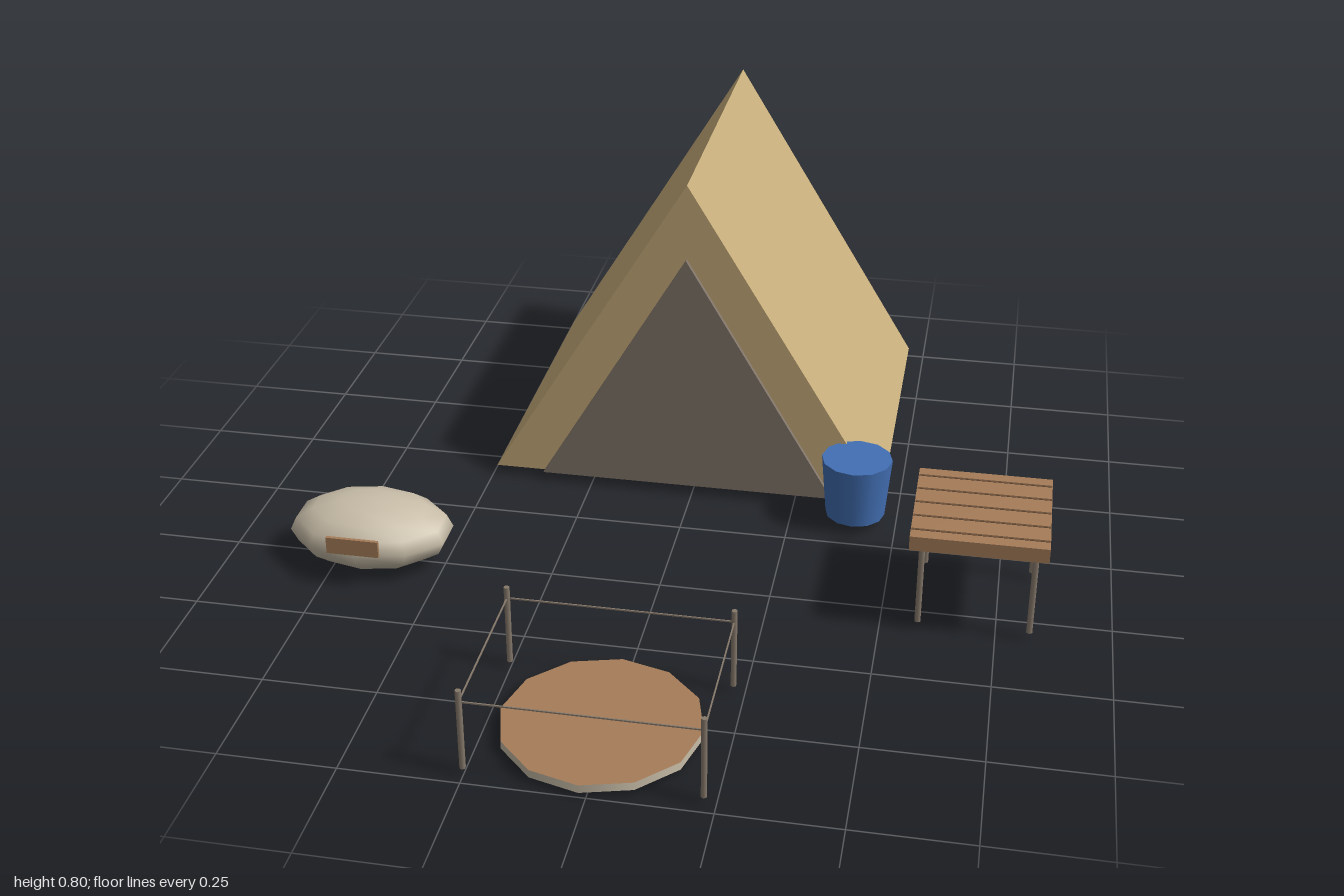
import * as THREE from 'three';

const mat = (name, color) => {
  const m = new THREE.MeshStandardMaterial({ color });
  m.name = name;
  return m;
};

export function createModel() {
  const canvas = mat('canvas', 0xc8ae7c);
  const flap = mat('doorFlap', 0x82766a);
  const stone = mat('stone', 0xc8bda8);
  const wood = mat('wood', 0xa57c58);
  const groove = mat('darkWood', 0x6b4f38);
  const blue = mat('bluePlastic', 0x426fb3);
  const pole = mat('weatheredPole', 0x85786a);

  const model = new THREE.Group();
  model.name = 'campsite';

  const add = (parent, name, geometry, material, x, y, z) => {
    const mesh = new THREE.Mesh(geometry, material);
    mesh.name = name;
    mesh.position.set(x, y, z);
    parent.add(mesh);
    return mesh;
  };
  const group = (name) => {
    const g = new THREE.Group();
    g.name = name;
    model.add(g);
    return g;
  };
  // Triangular prism standing on y = 0, running from z = 0 to z = depth
  const prism = (halfWidth, height, depth) => {
    const s = new THREE.Shape();
    s.moveTo(-halfWidth, 0);
    s.lineTo(halfWidth, 0);
    s.lineTo(0, height);
    s.closePath();
    return new THREE.ExtrudeGeometry(s, { depth, bevelEnabled: false });
  };

  // Tent with its door panel
  const tent = group('tent');
  add(tent, 'tentBody', prism(0.475, 0.775, 0.83), canvas, -0.015, 0.025, -1);
  add(tent, 'tentDoor', prism(0.355, 0.595, 0.012), flap, -0.015, 0.025, -0.168);

  // Boulder with a wooden plaque
  const boulder = group('boulder');
  const rock = new THREE.SphereGeometry(1, 10, 8).rotateY(Math.PI / 2).scale(0.19, 0.078, 0.13);
  add(boulder, 'rock', rock, stone, -0.67, 0.08, 0.25);
  add(boulder, 'plaque', new THREE.BoxGeometry(0.12, 0.04, 0.008), wood, -0.67, 0.109, 0.383);

  // Round pit with a stone rim and wooden top and base
  const pit = group('firePit');
  const disc = new THREE.CylinderGeometry(0.209, 0.209, 0.018, 12);
  add(pit, 'pitDisc', disc, [stone, wood, wood], -0.015, 0.021, 0.79);

  // Rope fence around the pit
  const fence = group('ropeFence');
  const halfX = 0.2385, halfZ = 0.18;
  const post = new THREE.CylinderGeometry(0.0065, 0.0065, 0.185, 6);
  for (const s of [-1, 1]) {
    for (const t of [-1, 1]) {
      add(fence, 'fencePost', post, pole, -0.0135 + s * halfX, 0.1085, 0.79 + t * halfZ);
    }
    add(fence, 'rope', new THREE.BoxGeometry(2 * halfX, 0.003, 0.003), pole, -0.0135, 0.174, 0.79 + s * halfZ);
    add(fence, 'rope', new THREE.BoxGeometry(0.003, 0.003, 2 * halfZ), pole, -0.0135 + s * halfX, 0.174, 0.79);
  }

  // Bucket
  add(model, 'bucket', new THREE.CylinderGeometry(0.083, 0.07, 0.146, 12), blue, 0.402, 0.098, -0.109);

  // Slatted table
  const table = group('table');
  add(table, 'tableTop', new THREE.BoxGeometry(0.294, 0.034, 0.294), wood, 0.702, 0.232, 0.193);
  for (let i = -2; i <= 2; i++) {
    add(table, 'slatGap', new THREE.BoxGeometry(0.292, 0.002, 0.006), groove, 0.702, 0.249, 0.193 + i * 0.0575);
  }
  const leg = new THREE.CylinderGeometry(0.0075, 0.0075, 0.196, 6);
  for (const s of [-1, 1]) {
    for (const t of [-1, 1]) {
      add(table, 'tableLeg', leg, pole, 0.702 + s * 0.12, 0.119, 0.193 + t * 0.12);
    }
  }

  return model;
}
